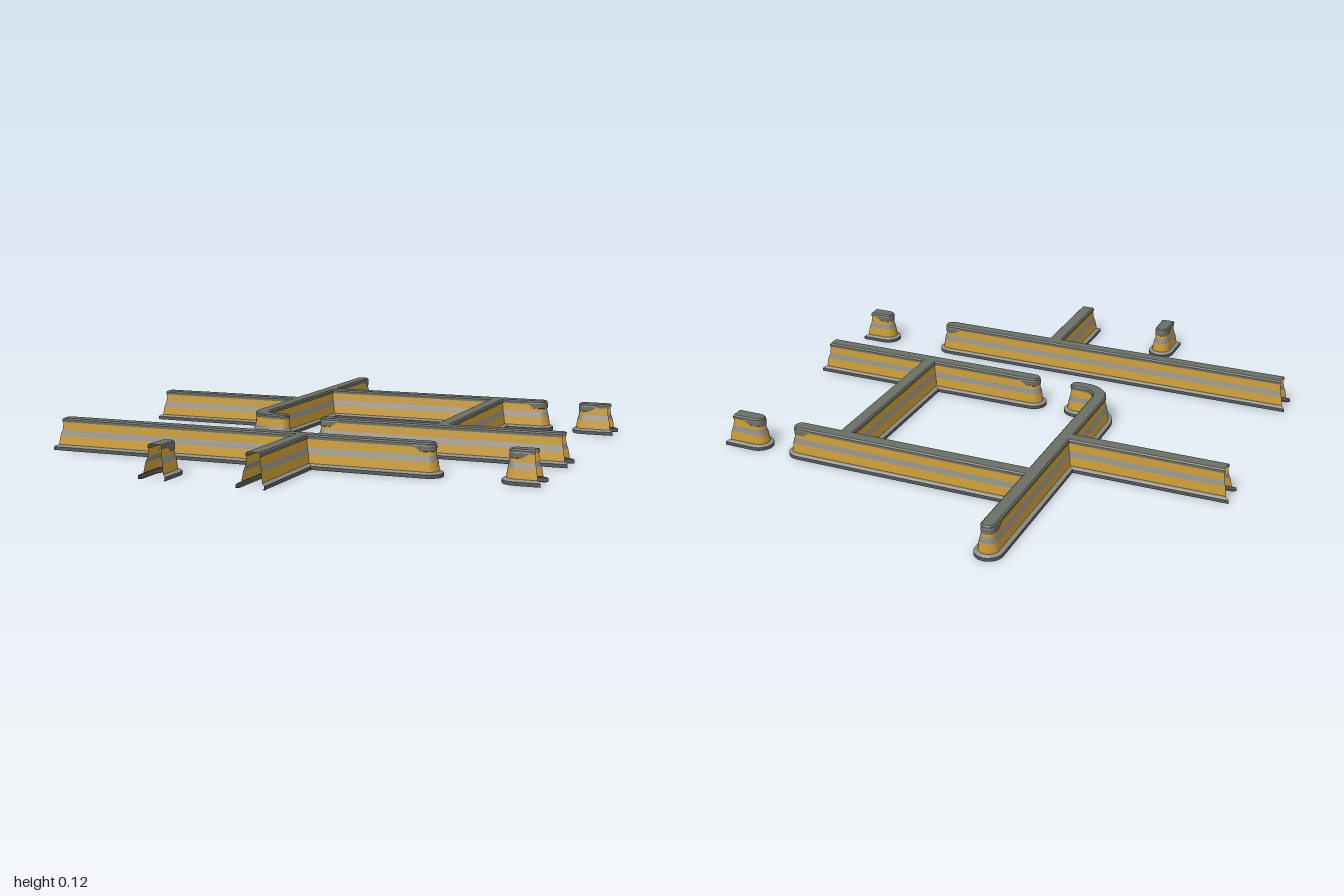
import * as THREE from 'three';

const material = (color) => new THREE.MeshStandardMaterial({ color, side: THREE.DoubleSide, roughness: 0.8 });

// Wall cross-section: each band is a run of [half width, height] points, from the foot up
const bands = [
  { name: 'foot', mat: material(0x55595b), rows: [[0.041, 0], [0.052, 0], [0.052, 0.013]] },
  { name: 'footLedge', mat: material(0x8b8d8b), rows: [[0.052, 0.013], [0.045, 0.018], [0.038, 0.02]] },
  { name: 'lowerPanel', mat: material(0xc99a30), rows: [[0.038, 0.02], [0.033, 0.055]] },
  { name: 'middleStripe', mat: material(0x858785), rows: [[0.033, 0.055], [0.027, 0.075]] },
  { name: 'upperPanel', mat: material(0xc99a30), rows: [[0.027, 0.075], [0.024, 0.105]] },
  { name: 'cap', mat: material(0x6a6f64), rows: [[0.024, 0.105], [0.027, 0.105], [0.027, 0.115], [0.022, 0.12], [0, 0.12]] },
];
const lipBand = { name: 'capLip', mat: bands[5].mat, rows: [[0.025, 0.088], [0.028, 0.09], [0.028, 0.108], [0.026, 0.112]] };

// End styles: how far the end of a row moves outward; 'round' closes with a half circle
const open = (d) => Math.max(d, 0.024) - 0.052;
const tee = (d) => -d;
const slant = (d, y) => (y - 0.108) * 1.5;
const round = 'round';

// Centre line points with their averaged directions
function withTangents(path) {
  const v = path.map(([x, z]) => new THREE.Vector2(x, z));
  return v.map((p, i) => {
    const t = new THREE.Vector2();
    if (i > 0) t.add(p.clone().sub(v[i - 1]).normalize());
    if (i < v.length - 1) t.add(v[i + 1].clone().sub(p).normalize());
    return { p, t: t.normalize() };
  });
}

// Plan outline of the wall at half width d: out along one side, back along the other
function outline(line, d, y, startEnd, endEnd) {
  const pts = [];
  const skip = new Set();
  const last = line.length - 1;
  const place = (i, side, along = 0) => {
    const { p, t } = line[i];
    pts.push([p.x + t.y * side * d + t.x * along, p.y - t.x * side * d + t.y * along]);
  };
  const shift = (i) => {
    if (i === 0 && startEnd !== round) return -startEnd(d, y);
    if (i === last && endEnd !== round) return endEnd(d, y);
    return 0;
  };
  const turn = (i, sign) => {
    const steps = 10;
    for (let k = 1; k < steps; k++) {
      const a = (k / steps) * Math.PI;
      place(i, sign * Math.cos(a), sign * d * Math.sin(a));
    }
  };
  for (let i = 0; i <= last; i++) place(i, 1, shift(i));
  if (endEnd === round) turn(last, 1);
  else skip.add(pts.length - 1);
  for (let i = last; i >= 0; i--) place(i, -1, shift(i));
  if (startEnd === round) turn(0, -1);
  else skip.add(pts.length - 1);
  return { pts, skip };
}

// Loft one band between the outlines of its rows
function loftBand(band, line, startEnd, endEnd) {
  const pos = [];
  const index = [];
  for (let r = 0; r < band.rows.length - 1; r++) {
    const base = pos.length / 3;
    const pair = [band.rows[r], band.rows[r + 1]].map(([d, y]) => {
      const o = outline(line, d, y, startEnd, endEnd);
      o.pts.forEach(([x, z]) => pos.push(x, y, z));
      return o;
    });
    const n = pair[0].pts.length;
    for (let i = 0; i < n; i++) {
      if (pair[0].skip.has(i)) continue;
      const j = (i + 1) % n;
      const [a, b, c, e] = [base + i, base + j, base + n + i, base + n + j];
      index.push(a, c, e, a, e, b);
    }
  }
  const geo = new THREE.BufferGeometry();
  geo.setAttribute('position', new THREE.Float32BufferAttribute(pos, 3));
  geo.setIndex(index);
  geo.computeVertexNormals();
  const mesh = new THREE.Mesh(geo, band.mat);
  mesh.name = band.name;
  return mesh;
}

function wall(name, path, startEnd, endEnd) {
  const group = new THREE.Group();
  group.name = name;
  const line = withTangents(path);
  bands.forEach((band) => group.add(loftBand(band, line, startEnd, endEnd)));
  // Deeper cap lip wrapping each rounded end
  const addLip = ({ p, t }, sign) => {
    const back = p.clone().addScaledVector(t, -sign * 0.05);
    group.add(loftBand(lipBand, withTangents([[back.x, back.y], [p.x, p.y]]), slant, round));
  };
  if (startEnd === round) addLip(line[0], -1);
  if (endEnd === round && path.length === 2) addLip(line[1], 1);
  return group;
}

export function createModel() {
  const model = new THREE.Group();
  model.name = 'wallLayout';

  // Long wall with a curved corner
  const hook = [[-0.305, -0.945], [-0.305, 0.1]];
  for (let k = 1; k <= 10; k++) {
    const a = (k / 10) * Math.PI / 2;
    hook.push([-0.22 - 0.085 * Math.cos(a), 0.1 + 0.085 * Math.sin(a)]);
  }
  hook.push([-0.187, 0.185]);

  const walls = [
    ['curvedWall', hook, round, round],
    ['leftBranchWall', [[-0.95, -0.253], [-0.305, -0.253]], open, tee],
    ['backWall', [[-0.305, -0.56], [0.635, -0.56]], tee, round],
    ['crossWall', [[0.455, -0.56], [0.455, 0.185]], tee, tee],
    ['middleWall', [[0, 0.185], [0.945, 0.185]], round, open],
    ['frontWall', [[-0.95, 0.555], [0.535, 0.555]], open, round],
    ['frontBranchWall', [[0.062, 0.555], [0.062, 0.995]], tee, open],
    ['backStub', [[0.822, -0.56], [0.945, -0.56]], round, open],
    ['frontStub', [[0.85, 0.555], [0.945, 0.555]], round, open],
    ['cornerStub', [[-0.315, 0.872], [-0.315, 0.985]], round, open],
  ];
  walls.forEach((w) => model.add(wall(...w)));
  return model;
}
